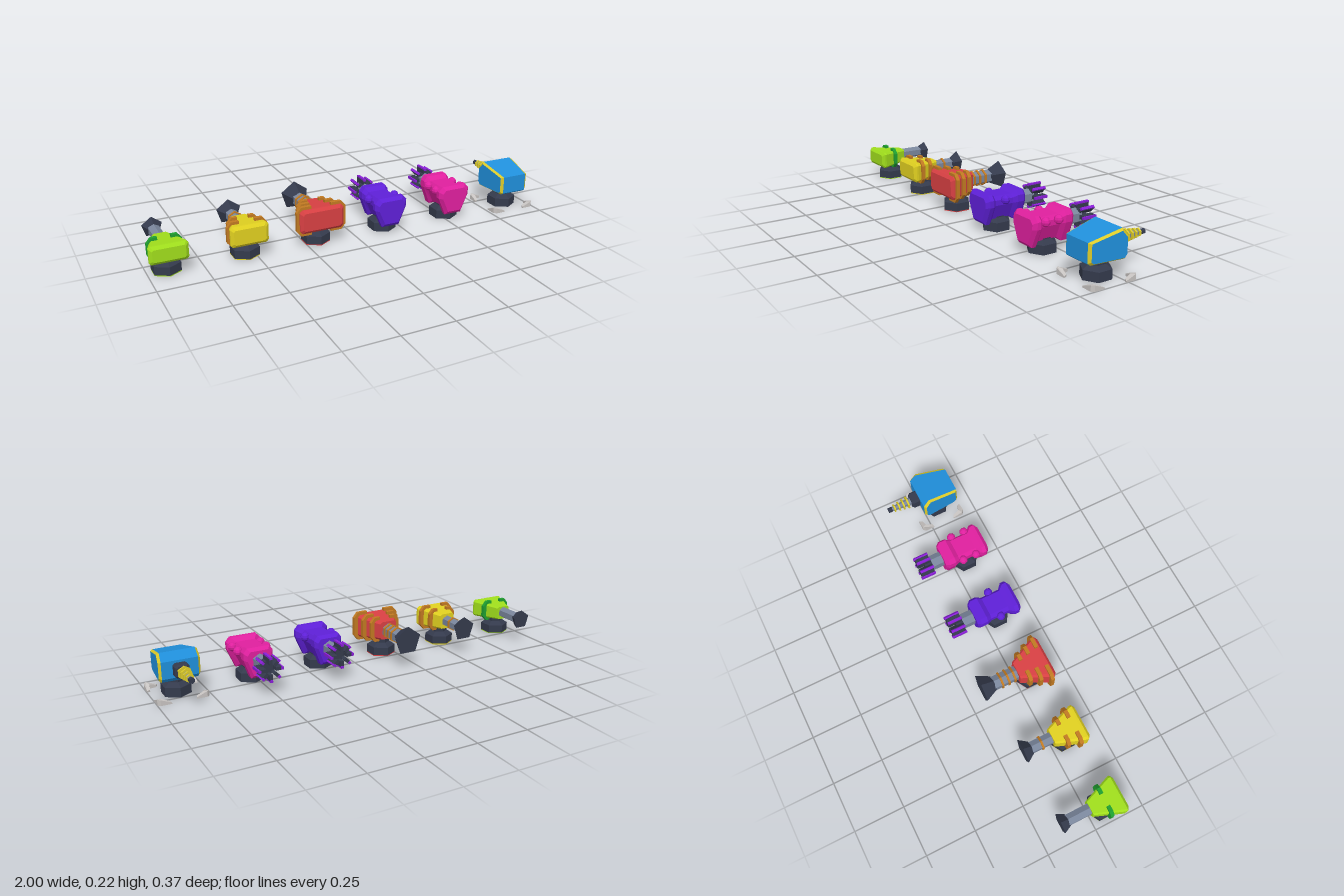
import * as THREE from 'three';

const C = {
  dark: 0x343a4c, grey: 0x7a869c, green: 0xa0de1c, leaf: 0x1fa030, yellow: 0xe0d020, orange: 0xc27a22,
  red: 0xd84043, purple: 0x5f20d8, trim: 0x8a1fd8, magenta: 0xe0209f, blue: 0x2090dc, gold: 0xdccb2a, pale: 0xc8c4c2,
};
const mats = {};
for (const k in C) mats[k] = new THREE.MeshStandardMaterial({ color: C[k], flatShading: true });

function add(group, name, geo, color, x = 0, y = 0, z = 0) {
  const m = new THREE.Mesh(geo, mats[color]);
  m.name = name;
  m.position.set(x, y, z);
  group.add(m);
  return m;
}

// Skin between matching convex rings, with optional end caps
function loft(rings, capStart = true, capEnd = true) {
  const pos = [];
  const tri = (a, b, c) => pos.push(...a, ...b, ...c);
  const n = rings[0].length;
  for (let i = 0; i < rings.length - 1; i++) {
    for (let j = 0; j < n; j++) {
      const k = (j + 1) % n;
      const [a, b, c, d] = [rings[i][j], rings[i][k], rings[i + 1][k], rings[i + 1][j]];
      tri(a, b, c);
      tri(a, c, d);
    }
  }
  const last = rings[rings.length - 1];
  for (let j = 1; j < n - 1; j++) {
    if (capStart) tri(rings[0][0], rings[0][j + 1], rings[0][j]);
    if (capEnd) tri(last[0], last[j], last[j + 1]);
  }
  const g = new THREE.BufferGeometry();
  g.setAttribute('position', new THREE.Float32BufferAttribute(pos, 3));
  g.computeVertexNormals();
  return g;
}

// Prism or cone running from z0 back to z1, with a corner pointing up
function rod(r0, r1, z0, z1, sides) {
  return new THREE.CylinderGeometry(r1, r0, z0 - z1, sides).rotateX(-Math.PI / 2).translate(0, 0, (z0 + z1) / 2);
}

// Hexagonal pedestal and neck
function pedestal(g, underside) {
  add(g, 'baseUnderside', new THREE.CylinderGeometry(0.07, 0.07, 0.004, 6), underside, 0, 0.002, 0.07);
  add(g, 'base', new THREE.CylinderGeometry(0.07, 0.07, 0.04, 6), 'dark', 0, 0.024, 0.07);
  add(g, 'baseBevel', new THREE.CylinderGeometry(0.042, 0.07, 0.018, 6), 'dark', 0, 0.053, 0.07);
  add(g, 'neck', new THREE.CylinderGeometry(0.041, 0.041, 0.04, 6), 'dark', 0, 0.08, 0.07);
}

// Wedge-bodied turret with side clamps and a flared muzzle
function wedgeTurret(o) {
  const g = new THREE.Group();
  pedestal(g, o.color);
  const cy = (o.top + o.bottom) / 2, hh = (o.top - o.bottom) / 2;
  const ring = (w, h, z) => {
    const c = Math.min(w, h) * 0.22;
    return [[w, -h + c], [w, h - c], [w - c, h], [-w + c, h], [-w, h - c], [-w, -h + c], [-w + c, -h], [w - c, -h]]
      .map(([x, y]) => [x, cy + y, z]);
  };
  add(g, 'body', loft([
    ring(o.back, hh * 0.78, 0), ring(o.front, hh, 0.138),
    ring(o.front, hh, 0.148), ring(o.front - 0.014, hh - 0.014, 0.16),
  ]), o.color);

  // C-shaped clamps, one on each side
  o.clamps.forEach(z => {
    const t = z / 0.138, w = o.back + (o.front - o.back) * Math.min(t, 1) + 0.002;
    const h = hh * (0.78 + 0.22 * Math.min(t, 1)), e = 0.014, x0 = w * 0.45;
    const s = new THREE.Shape([
      [x0, -h - e], [w - 0.008, -h - e], [w + e, -h + 0.012], [w + e, h - 0.012], [w - 0.008, h + e], [x0, h + e],
      [x0, h - 0.006], [w - 0.016, h - 0.006], [w - 0.006, h - 0.018], [w - 0.006, -h + 0.018],
      [w - 0.016, -h + 0.006], [x0, -h + 0.006],
    ].map(p => new THREE.Vector2(...p)));
    for (const turn of [0, Math.PI]) {
      const geo = new THREE.ExtrudeGeometry(s, { depth: 0.018, bevelEnabled: false }).translate(0, 0, -0.009).rotateY(turn);
      add(g, turn ? 'rightClamp' : 'leftClamp', geo, o.clampColor, 0, cy, z);
    }
  });

  add(g, 'barrel', rod(o.barrel, o.barrel, 0.01, o.flare - 0.005, 6), 'grey', 0, o.axis, 0);
  add(g, 'muzzle', rod(o.barrel * 1.05, o.muzzle, o.flare, o.end, 5), 'dark', 0, o.axis, 0);
  o.rings.forEach(z => add(g, 'barrelRing', rod(o.barrel + 0.006, o.barrel + 0.006, z + 0.005, z - 0.005, 6), o.clampColor, 0, o.axis, 0));
  return g;
}

// Bulky turret with side knobs and a ring of prongs as muzzle
function rotaryTurret(color, knobs) {
  const g = new THREE.Group();
  pedestal(g, 'dark');
  const outline = [[0.045, -0.08], [0.085, 0.012], [0.085, 0.045], [0.065, 0.068], [-0.065, 0.068], [-0.085, 0.045], [-0.085, 0.012], [-0.045, -0.08]];
  const ring = (s, z, sy = s) => outline.map(([x, y]) => [x * s, 0.12 + y * sy, z]);
  add(g, 'body', loft([
    ring(0.68, -0.055, 0.8), ring(0.84, -0.038, 1.0), ring(0.84, -0.005, 1.0), ring(0.72, 0.018, 0.76),
    ring(0.72, 0.115, 0.76), ring(1, 0.138), ring(1, 0.158), ring(0.8, 0.174, 0.78),
  ]), color);
  for (const z of knobs) {
    for (const s of [-1, 1]) add(g, s > 0 ? 'leftKnob' : 'rightKnob', new THREE.SphereGeometry(0.022, 8, 6), color, s * 0.07, 0.155, z);
  }
  const axis = 0.125;
  add(g, 'barrel', rod(0.037, 0.037, -0.045, -0.125, 6), 'grey', 0, axis, 0);
  add(g, 'muzzleCore', rod(0.036, 0.036, -0.113, -0.15, 8), 'dark', 0, axis, 0);
  for (let i = 0; i < 8; i++) {
    const prong = new THREE.Group();
    prong.name = 'prong';
    add(prong, 'prongBlade', new THREE.BoxGeometry(0.016, 0.028, 0.068), 'dark', 0, 0.038, -0.149);
    add(prong, 'prongEdge', new THREE.BoxGeometry(0.013, 0.012, 0.073), 'trim', 0, 0.054, -0.15);
    prong.position.y = axis;
    prong.rotation.z = i * Math.PI / 4;
    g.add(prong);
  }
  return g;
}

// Armoured turret with a gold-edged shell, ringed barrel and corner feet
function shellTurret() {
  const g = new THREE.Group();
  pedestal(g, 'dark');
  const profile = [[0.173, 0.098], [0.16, 0.088], [-0.005, 0.088], [-0.018, 0.105], [-0.018, 0.185], [0.012, 0.221], [0.173, 0.184]];
  const inset = profile.map(([z, y]) => [0.078 + (z - 0.078) * 0.89, 0.15 + (y - 0.15) * 0.87]);
  const width = z => 0.096 - 0.095 * (z + 0.02);
  const inner = s => profile.map(([z, y]) => [s * (width(z) - 0.012), y, z]);
  const outer = s => inset.map(([z, y]) => [s * width(z), y, z]);
  add(g, 'shell', loft([inner(-1), inner(1)], false, false), 'blue');
  add(g, 'leftShellEdge', loft([inner(1), outer(1)], false, false), 'gold');
  add(g, 'rightShellEdge', loft([outer(-1), inner(-1)], false, false), 'gold');
  add(g, 'leftShellPanel', loft([outer(1)], false, true), 'blue');
  add(g, 'rightShellPanel', loft([outer(-1)], true, false), 'blue');

  // Barrel mount and stepped barrel
  const mount = (w, h, z) => [[w, -h * 0.7], [w, h * 0.7], [w * 0.7, h], [-w * 0.7, h], [-w, h * 0.7], [-w, -h * 0.7], [-w * 0.7, -h], [w * 0.7, -h]]
    .map(([x, y]) => [x, 0.143 + y, z]);
  add(g, 'barrelMount', loft([mount(0.026, 0.025, -0.06), mount(0.033, 0.031, -0.05), mount(0.033, 0.031, -0.01)]), 'dark');
  add(g, 'barrel', rod(0.021, 0.011, -0.055, -0.17, 6), 'grey', 0, 0.145, 0);
  add(g, 'barrelTip', rod(0.013, 0.013, -0.163, -0.184, 6), 'dark', 0, 0.145, 0);
  for (let i = 0; i < 4; i++) {
    const r = 0.032 - i * 0.004, z = -0.078 - i * 0.024;
    add(g, 'barrelRing', rod(r, r, z + 0.004, z - 0.004, 6), 'gold', 0, 0.145, 0);
  }

  // Corner feet: chamfered L plates sloping down away from the corner
  const foot = new THREE.Shape([[0, 0.012], [0.012, 0], [0.062, 0], [0.055, 0.016], [0.024, 0.022], [0.022, 0.024], [0.016, 0.055], [0, 0.062]]
    .map(p => new THREE.Vector2(...p)));
  for (let i = 0; i < 4; i++) {
    const geo = new THREE.ExtrudeGeometry(foot, { depth: 1, bevelEnabled: false });
    const p = geo.attributes.position;
    for (let j = 0; j < p.count; j++) {
      const reach = Math.max(p.getX(j), p.getY(j));
      p.setZ(j, p.getZ(j) * (reach < 0.013 ? 0.027 : 0.027 - (reach - 0.012) * 0.4));
    }
    geo.rotateX(-Math.PI / 2).translate(-0.118, 0, 0.118).rotateY(i * Math.PI / 2);
    geo.computeVertexNormals();
    add(g, 'cornerFoot', geo, 'pale', 0, 0, 0.068);
  }
  return g;
}

export function createModel() {
  const model = new THREE.Group();
  model.name = 'turretSet';
  const turrets = [
    ['greenTurret', -0.912, wedgeTurret({
      color: 'green', clampColor: 'leaf', top: 0.162, bottom: 0.075, back: 0.036, front: 0.088,
      clamps: [0.075], axis: 0.121, barrel: 0.029, flare: -0.112, end: -0.15, muzzle: 0.05, rings: [],
    })],
    ['yellowTurret', -0.545, wedgeTurret({
      color: 'yellow', clampColor: 'orange', top: 0.18, bottom: 0.08, back: 0.04, front: 0.09,
      clamps: [0.055, 0.11], axis: 0.13, barrel: 0.03, flare: -0.105, end: -0.148, muzzle: 0.062, rings: [-0.055],
    })],
    ['redTurret', -0.19, wedgeTurret({
      color: 'red', clampColor: 'orange', top: 0.197, bottom: 0.08, back: 0.045, front: 0.11,
      clamps: [0.04, 0.085, 0.133], axis: 0.138, barrel: 0.036, flare: -0.12, end: -0.185, muzzle: 0.072, rings: [-0.02, -0.052, -0.085],
    })],
    ['purpleTurret', 0.167, rotaryTurret('purple', [0.065])],
    ['magentaTurret', 0.522, rotaryTurret('magenta', [0.035, 0.105])],
    ['blueTurret', 0.881, shellTurret()],
  ];
  for (const [name, x, t] of turrets) {
    t.name = name;
    t.position.x = x;
    model.add(t);
  }
  return model;
}
